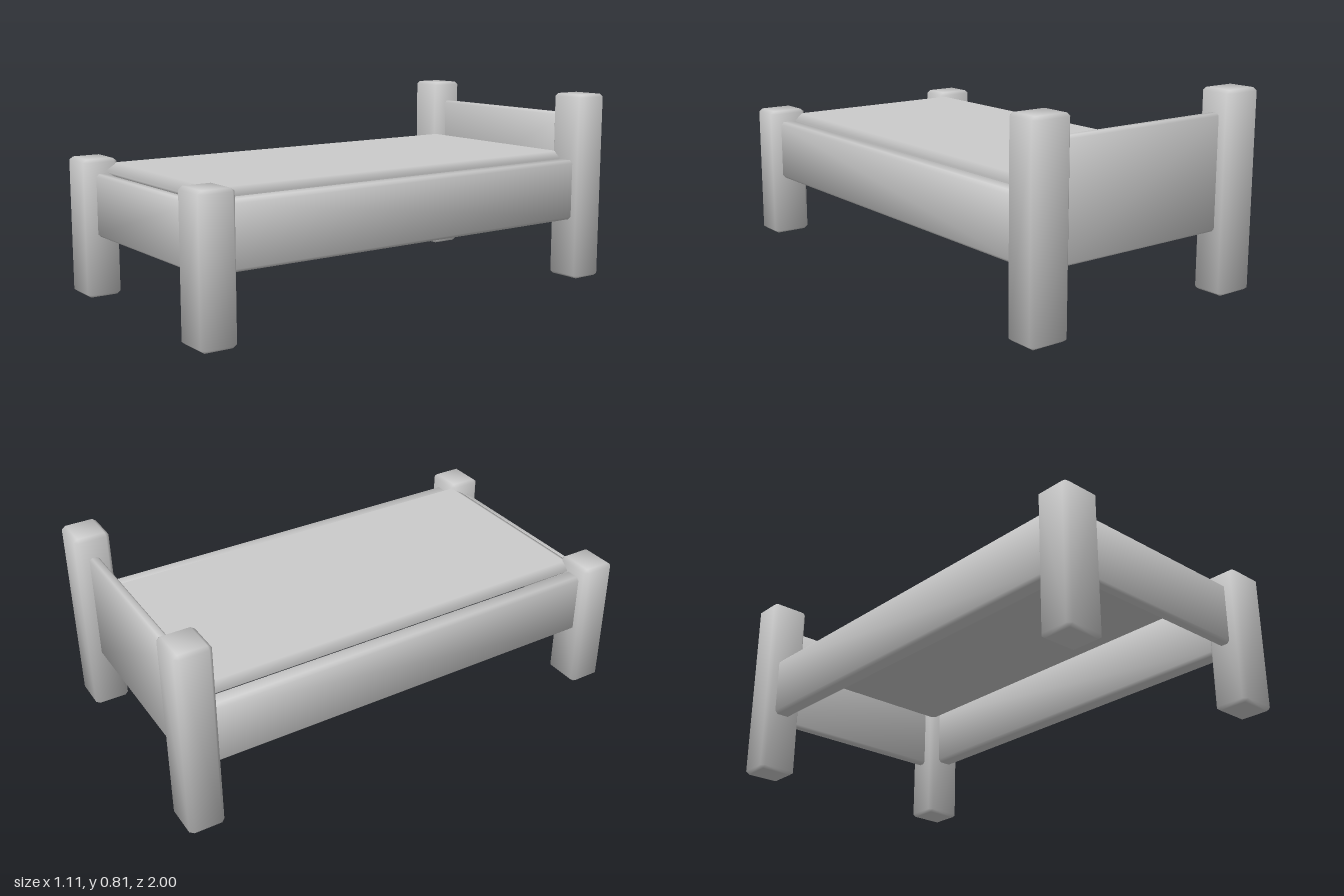
import * as THREE from 'three';
import { ConvexGeometry } from 'three/addons/geometries/ConvexGeometry.js';

const material = new THREE.MeshStandardMaterial({ color: 0xcccccc });

// Box with chamfered edges, given by its min and max corners.
// chamfer is its size along x, y, z; tilt leans the smooth normals towards the edges.
function chamferedBox(name, min, max, chamfer, tilt) {
  const half = min.map((m, i) => (max[i] - m) / 2);
  const mid = min.map((m, i) => (max[i] + m) / 2);
  const points = [];
  for (const sx of [-1, 1]) for (const sy of [-1, 1]) for (const sz of [-1, 1]) {
    for (let axis = 0; axis < 3; axis++) {
      const [x, y, z] = half.map((h, i) => (i === axis ? h : h - chamfer[i]));
      points.push(new THREE.Vector3(sx * x, sy * y, sz * z));
    }
  }
  const geometry = new ConvexGeometry(points);

  // A corner point's normal follows the face it lies on, plus the tilt
  const { position, normal } = geometry.attributes;
  for (let i = 0; i < position.count; i++) {
    const p = [position.getX(i), position.getY(i), position.getZ(i)];
    const n = p.map((v, a) => Math.sign(v) * (Math.abs(v) > half[a] - chamfer[a] / 2 ? 1 : tilt));
    normal.setXYZ(i, ...new THREE.Vector3(...n).normalize().toArray());
  }

  const mesh = new THREE.Mesh(geometry, material);
  mesh.name = name;
  mesh.position.set(...mid);
  return mesh;
}

export function createModel() {
  const bed = new THREE.Group();
  bed.name = 'bed';
  const postChamfer = [0.016, 0.012, 0.016];
  const boardChamfer = [0.01, 0.01, 0.01];
  const railChamfer = [0.013, 0.013, 0.013];
  const tilt = 0.42;

  for (const [side, s] of [['left', 1], ['right', -1]]) {
    // Corner posts: short at the foot, tall at the head
    const x0 = s * 0.471 - 0.084, x1 = s * 0.471 + 0.084;
    bed.add(chamferedBox(side + 'FootPost', [x0, 0, 0.854], [x1, 0.57, 1], postChamfer, tilt));
    bed.add(chamferedBox(side + 'HeadPost', [x0, 0, -1], [x1, 0.805, -0.854], postChamfer, tilt));

    // Side rail, ending just inside the posts
    bed.add(chamferedBox(side + 'Rail',
      [s * 0.473 - 0.039, 0.26, -0.88], [s * 0.473 + 0.039, 0.52, 0.88], railChamfer, tilt));
  }

  // End boards
  bed.add(chamferedBox('footboard', [-0.41, 0.253, 0.903], [0.41, 0.51, 0.951], boardChamfer, tilt));
  bed.add(chamferedBox('headboard', [-0.41, 0.253, -0.951], [0.41, 0.715, -0.908], boardChamfer, tilt));

  // Thin mattress with soft edges
  bed.add(chamferedBox('mattress', [-0.437, 0.49, -0.912], [0.437, 0.55, 0.907], [0.03, 0.027, 0.045], 0));

  return bed;
}
